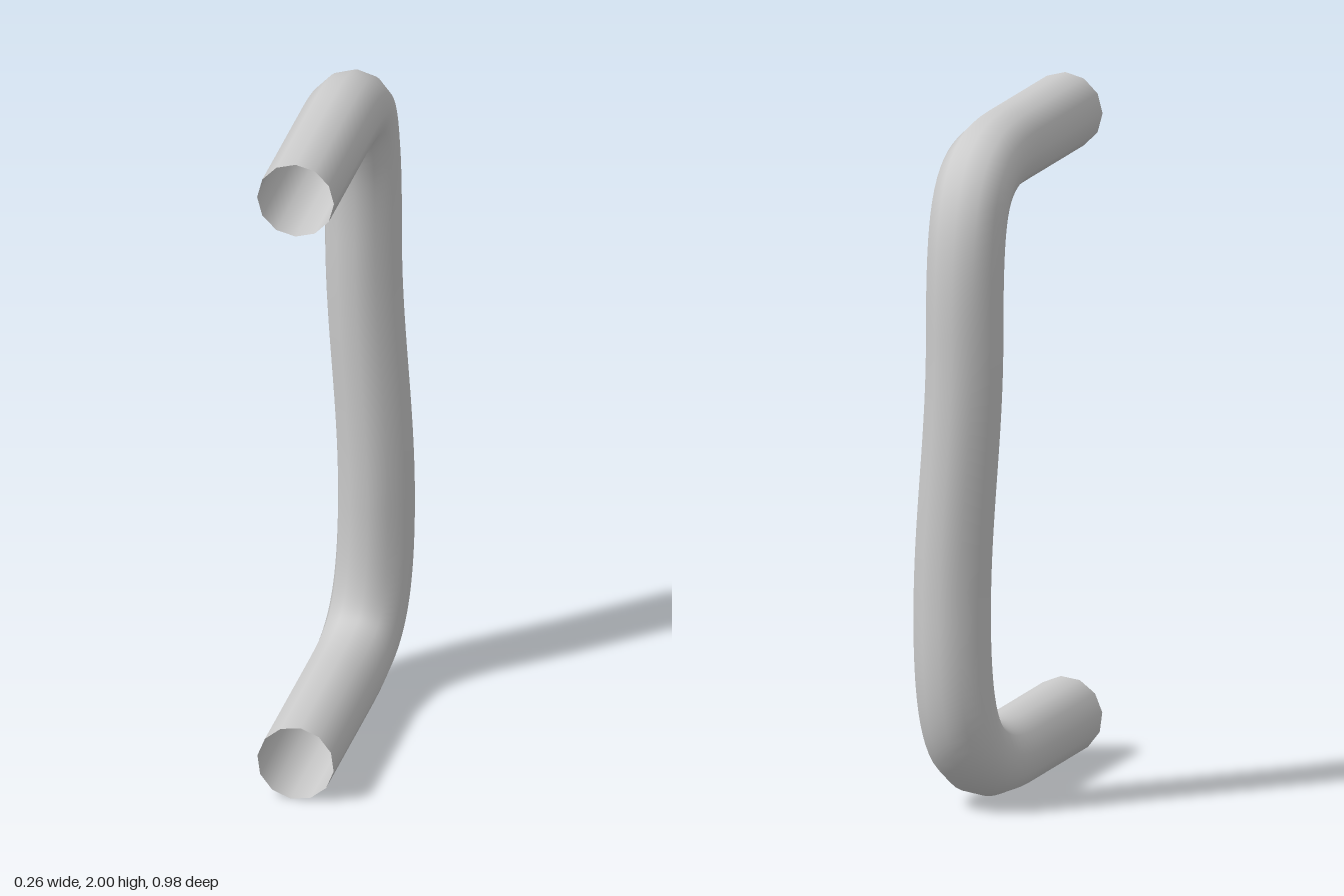
import * as THREE from 'three';

const V = (x, y, z) => new THREE.Vector3(x, y, z);

export function createModel() {
  const group = new THREE.Group();
  const material = new THREE.MeshStandardMaterial({ color: 0xcccccc, side: THREE.DoubleSide });

  const radius = 0.113;
  const x0 = -0.02, x1 = 0.018;      // end x and sideways bow of the grip
  const top = 1.887, bottom = 0.115; // heights of the two arms
  const front = 0.49, back = -0.377;

  // Centre line: upper arm, bend, gently bowed grip, bend, lower arm
  const path = new THREE.CurvePath();
  path.add(new THREE.LineCurve3(V(x0, top, front), V(x0, top, 0)));
  path.add(new THREE.CubicBezierCurve3(
    V(x0, top, 0), V(x0, top, back * 0.85), V(x0, top - 0.07, back), V(x0, 1.4, back)));
  path.add(new THREE.CubicBezierCurve3(
    V(x0, 1.4, back), V(x0, 1.1, back), V(x1, 0.88, back), V(x1, 0.58, back)));
  path.add(new THREE.CubicBezierCurve3(
    V(x1, 0.58, back), V(x1, bottom + 0.07, back), V(x0, bottom, back * 0.85), V(x0, bottom, 0)));
  path.add(new THREE.LineCurve3(V(x0, bottom, 0), V(x0, bottom, front)));

  // Open-ended bent tube
  const handle = new THREE.Mesh(new THREE.TubeGeometry(path, 110, radius, 12, false), material);
  handle.name = 'handleTube';
  group.add(handle);
  return group;
}
